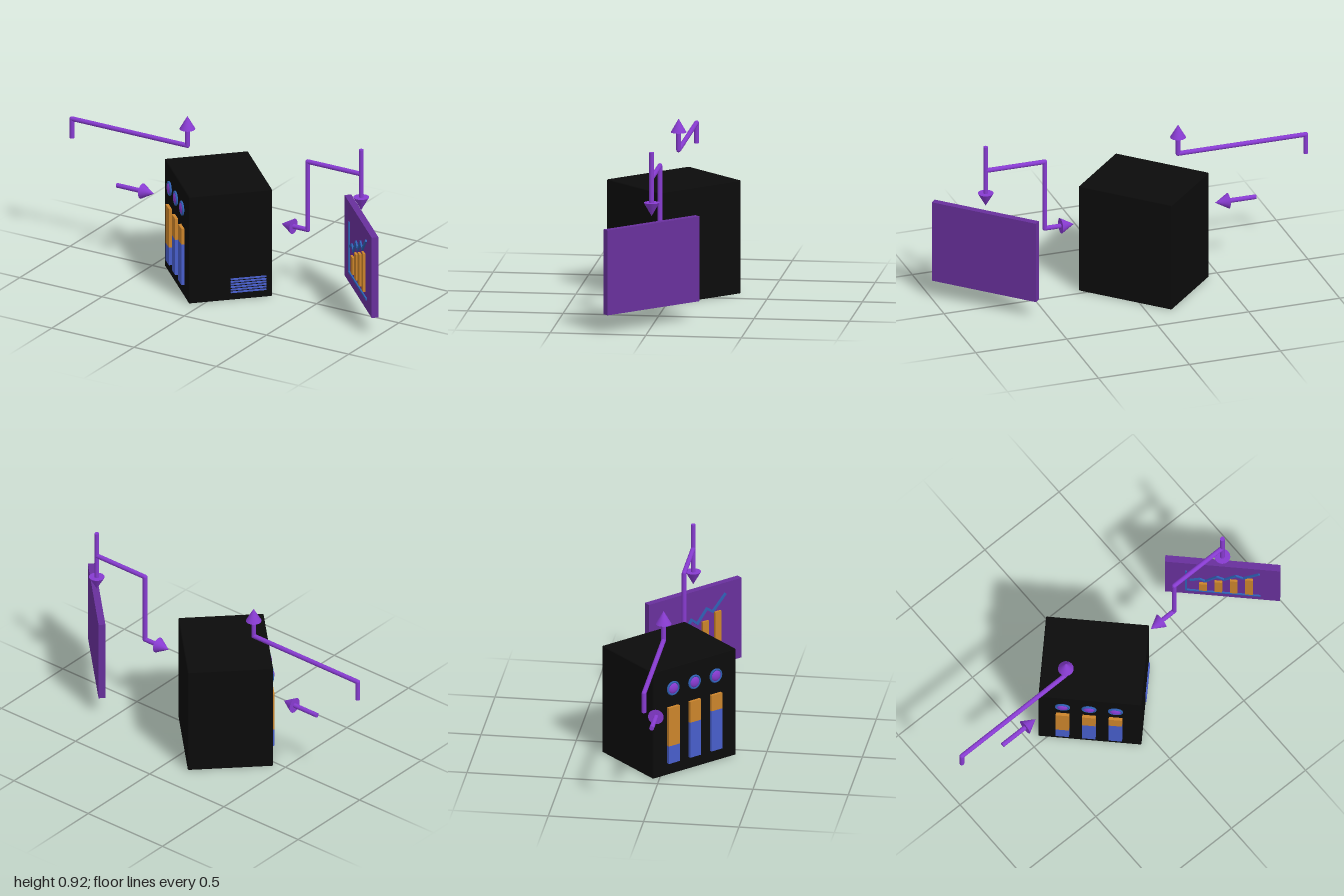
import * as THREE from 'three';
import { RoundedBoxGeometry } from 'three/addons/geometries/RoundedBoxGeometry.js';

const mat = (name, color) => {
  const m = new THREE.MeshStandardMaterial({ color });
  m.name = name;
  return m;
};

export function createModel() {
  const black = mat('cabinet black', 0x0b0b0b);
  const panelPurple = mat('panel purple', 0x68309c);
  const arrowPurple = mat('arrow purple', 0x873bd0);
  const orange = mat('orange', 0xcb842b);
  const blue = mat('blue', 0x475ecb);
  const lineBlue = mat('line blue', 0x2f60b4);

  const model = new THREE.Group();
  model.name = 'dataFlowDiagram';

  const add = (parent, name, geometry, material, x = 0, y = 0, z = 0) => {
    const mesh = new THREE.Mesh(geometry, material);
    mesh.name = name;
    mesh.position.set(x, y, z);
    parent.add(mesh);
    return mesh;
  };
  const box = (parent, name, material, w, h, d, x, y, z) =>
    add(parent, name, new THREE.BoxGeometry(w, h, d), material, x, y, z);

  // Groups turned so that their local front faces (-x, +z)
  const turnedGroup = (name, x) => {
    const g = new THREE.Group();
    g.name = name;
    g.position.x = x;
    g.rotation.y = -Math.PI / 4;
    model.add(g);
    return g;
  };

  // Cabinet
  const W = 0.537, D = 0.445, H = 0.6;
  const cabinet = turnedGroup('cabinet', -0.0975);
  add(cabinet, 'cabinetBody', new RoundedBoxGeometry(W, H, D, 2, 0.006), black, 0, H / 2, 0);

  // Two-colour level bars with a ringed knob above each
  const front = D / 2;
  [0.166, 0.265, 0.294].forEach((split, i) => {
    const x = -0.142 + i * 0.138, low = 0.067, high = 0.382;
    box(cabinet, 'levelLow', blue, 0.07, split - low, 0.016, x, (split + low) / 2, front + 0.008);
    box(cabinet, 'levelHigh', orange, 0.07, high - split, 0.016, x, (split + high) / 2, front + 0.008);
    add(cabinet, 'knobRing', new THREE.TorusGeometry(0.034, 0.006, 8, 24), lineBlue, x, 0.484, front + 0.006);
    const knob = add(cabinet, 'knob', new THREE.SphereGeometry(0.032, 20, 12), arrowPurple, x, 0.484, front + 0.002);
    knob.scale.z = 0.5;
  });

  // Vent slats on the side
  for (let i = 0; i < 6; i++) {
    box(cabinet, 'ventSlat', blue, 0.006, 0.008, 0.19, W / 2 + 0.003, 0.044 + i * 0.0145, -0.095);
  }

  // Chart panel
  const panel = turnedGroup('chartPanel', 0.7725);
  const T = 0.036, face = T / 2;
  box(panel, 'panelBoard', panelPurple, 0.6, 0.45, T, 0, 0.325, 0);
  box(panel, 'verticalAxis', lineBlue, 0.01, 0.285, 0.008, -0.188, 0.303, face + 0.004);
  box(panel, 'horizontalAxis', lineBlue, 0.39, 0.01, 0.008, 0.005, 0.165, face + 0.004);
  [0.286, 0.334, 0.368, 0.404].forEach((top, i) => {
    box(panel, 'chartBar', orange, 0.04, top - 0.19, 0.012, -0.1 + i * 0.08, (top + 0.19) / 2, face + 0.006);
  });

  // Zigzag trend line
  const trend = [[-0.164, 0.318], [-0.119, 0.345], [-0.089, 0.318], [-0.028, 0.398],
    [0.01, 0.366], [0.071, 0.436], [0.109, 0.409], [0.19, 0.489]];
  trend.slice(1).forEach(([x, y], i) => {
    const [px, py] = trend[i];
    const dx = x - px, dy = y - py;
    const seg = box(panel, 'trendLine', lineBlue, Math.hypot(dx, dy) + 0.006, 0.012, 0.009,
      (x + px) / 2, (y + py) / 2, face + 0.0045);
    seg.rotation.z = Math.atan2(dy, dx);
  });

  // Arrows: round shafts with ball joints, the last point being the tip
  const R = 0.0125, up = new THREE.Vector3(0, 1, 0);
  const rod = (group, name, a, b, rTop, rBottom) => {
    const dir = b.clone().sub(a);
    const mesh = add(group, name, new THREE.CylinderGeometry(rTop, rBottom, dir.length(), 24), arrowPurple);
    mesh.position.copy(a).add(b).multiplyScalar(0.5);
    mesh.quaternion.setFromUnitVectors(up, dir.normalize());
  };
  const arrow = (name, points) => {
    const g = new THREE.Group();
    g.name = name;
    model.add(g);
    const pts = points.map(([x, y]) => new THREE.Vector3(x, y, 0));
    const tip = pts[pts.length - 1];
    const back = pts[pts.length - 2].clone().sub(tip).normalize();
    const base = tip.clone().addScaledVector(back, 0.072);
    pts[pts.length - 1] = base;
    for (let i = 1; i < pts.length; i++) {
      rod(g, 'shaft', pts[i - 1], pts[i], R, R);
      if (i < pts.length - 1) {
        add(g, 'joint', new THREE.SphereGeometry(R, 16, 12), arrowPurple, pts[i].x, pts[i].y, 0);
      }
    }
    rod(g, 'arrowHead', base, tip, 0, 0.041);
  };
  arrow('inputArrow', [[-0.714, 0.404], [-0.49, 0.404]]);
  arrow('upperArrow', [[-0.988, 0.612], [-0.988, 0.719], [-0.286, 0.719], [-0.286, 0.885]]);
  arrow('panelArrow', [[0.771, 0.923], [0.771, 0.585]]);
  arrow('returnArrow', [[0.771, 0.786], [0.446, 0.786], [0.446, 0.404], [0.287, 0.404]]);

  return model;
}
